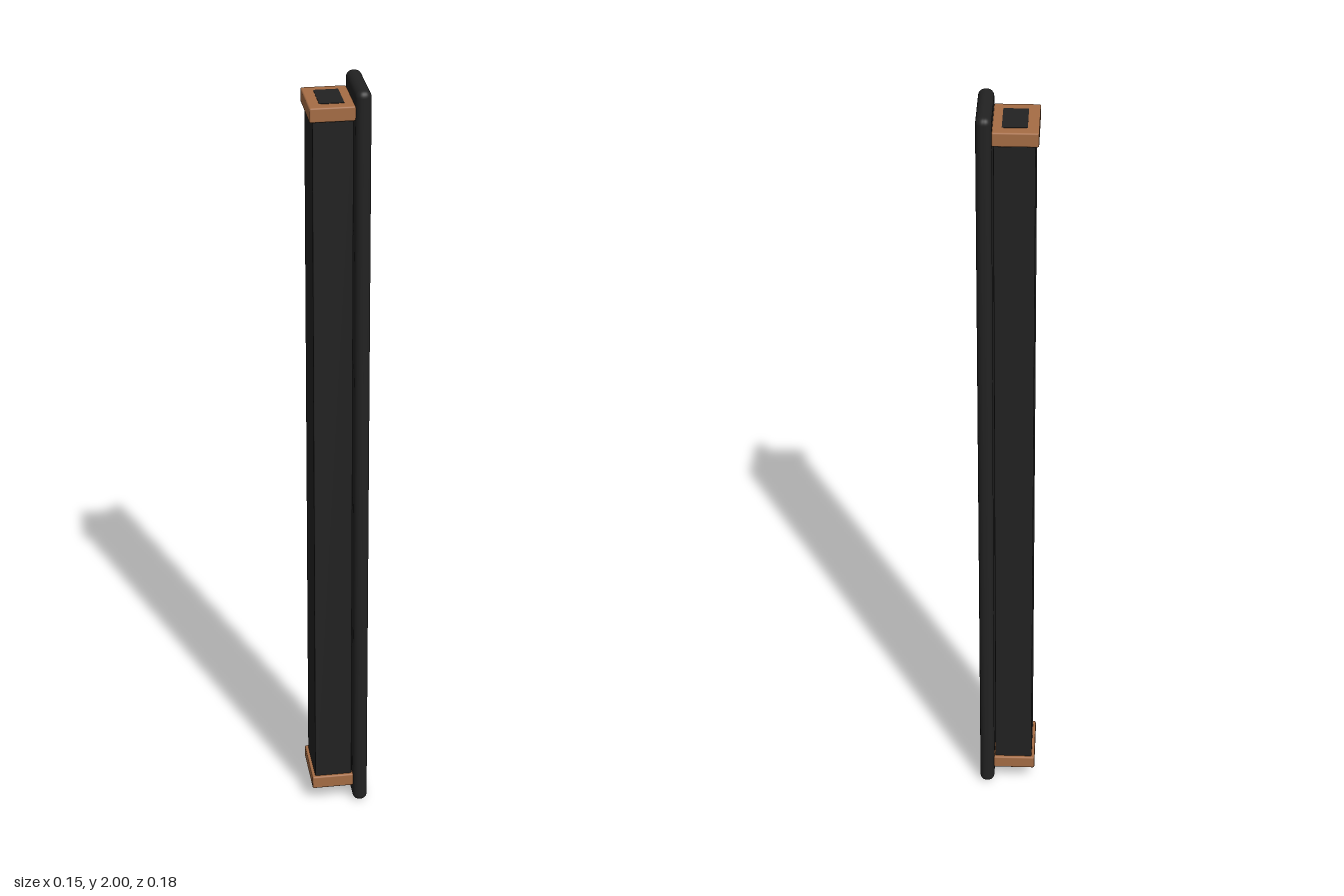
import * as THREE from 'three';
import { RoundedBoxGeometry } from 'three/addons/geometries/RoundedBoxGeometry.js';

export function createModel() {
  const model = new THREE.Group();
  model.name = 'doorHandle';

  const black = new THREE.MeshStandardMaterial({ color: 0x222222 });
  black.name = 'matteBlack';
  const copper = new THREE.MeshStandardMaterial({ color: 0xa66d45 });
  copper.name = 'copper';

  // Add a box from its [min, max] range on each axis; a radius rounds its edges
  function addBox(name, material, [x0, x1], [y0, y1], [z0, z1], radius = 0, segments = 2) {
    const size = [x1 - x0, y1 - y0, z1 - z0];
    const geometry = radius
      ? new RoundedBoxGeometry(...size, segments, radius)
      : new THREE.BoxGeometry(...size);
    const mesh = new THREE.Mesh(geometry, material);
    mesh.position.set((x0 + x1) / 2, (y0 + y1) / 2, (z0 + z1) / 2);
    mesh.name = name;
    model.add(mesh);
  }

  // Tall rounded backing plate
  addBox('backPlate', black, [0.035, 0.073], [0, 2], [-0.089, 0.089], 0.017, 4);

  // Square bar running between the caps
  addBox('bar', black, [-0.066, 0.032], [0.06, 1.945], [-0.07, 0.07], 0.003);

  // Copper caps with a dark inset on the outer face
  for (const [label, y0, y1, outer] of [['bottom', 0.046, 0.082, 0.046], ['top', 1.926, 1.962, 1.962]]) {
    addBox(label + 'Cap', copper, [-0.074, 0.036], [y0, y1], [-0.078, 0.078], 0.004);
    addBox(label + 'Inset', black, [-0.047, 0.013], [outer - 0.001, outer + 0.001], [-0.05, 0.05]);
  }

  return model;
}
